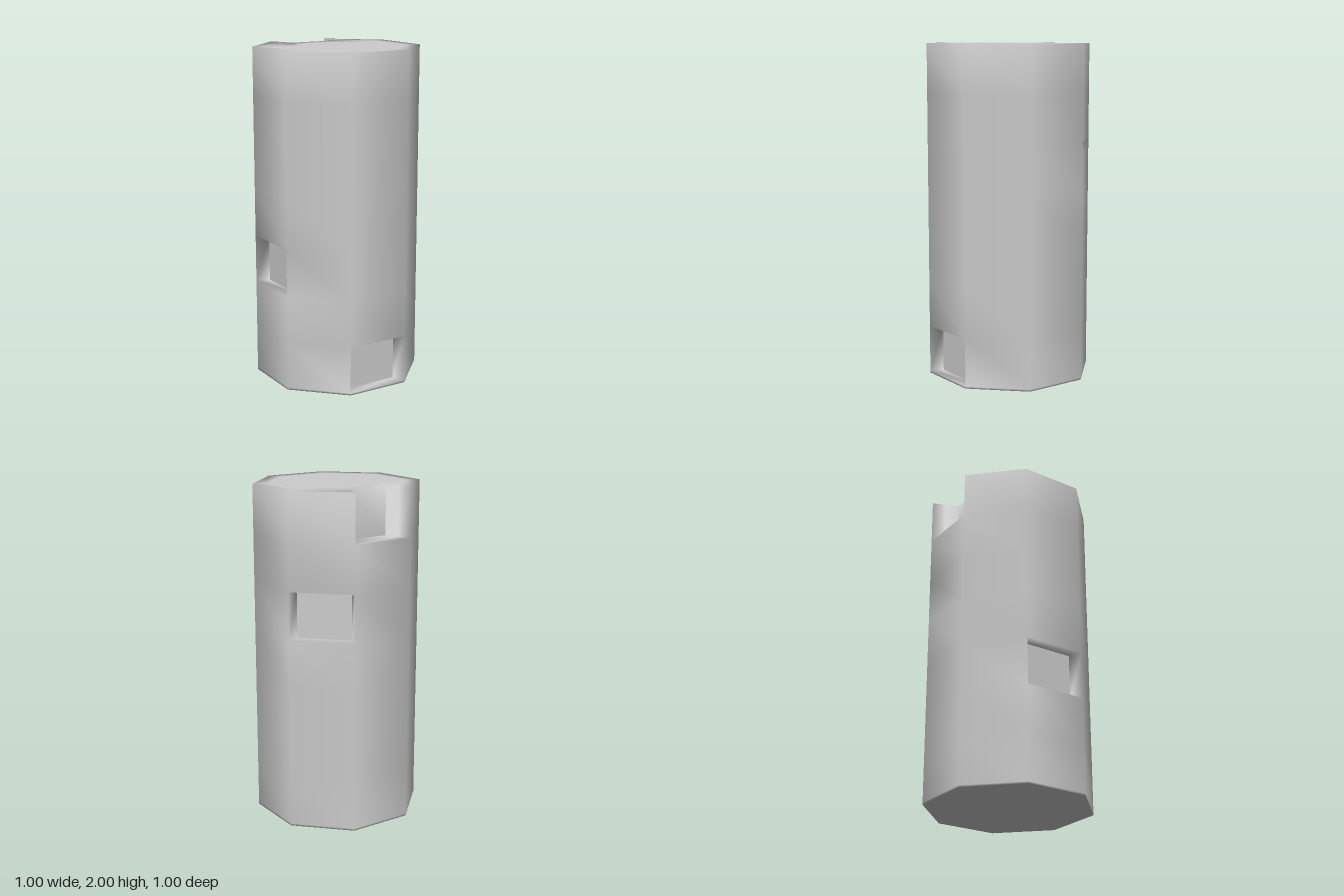
import * as THREE from 'three';

const SIDES = 8, COURSES = 7, BASE = 0.012, HEIGHT = 2;
const radii = [0, 0.25, 0.333, 0.417, 0.5];
const levels = [0];
for (let i = 0; i <= COURSES; i++) levels.push(BASE + (i * (HEIGHT - BASE)) / COURSES);

// Missing blocks: course level, side, and how many rings deep they are cut
const notches = [
  { level: 1, side: 2, depth: 1 },
  { level: 3, side: 4, depth: 1 },
  { level: 5, side: 7, depth: 1 },
  { level: 7, side: 6, depth: 2 },
];
const size = [radii.length - 1, levels.length - 1, SIDES];

// Is the block [ring, level, side] filled with stone?
function solid([r, y, s]) {
  if (r >= size[0] || y < 0 || y >= size[1]) return false;
  const side = (s + SIDES) % SIDES;
  return !notches.some(n => n.level === y && n.side === side && r >= size[0] - n.depth);
}

function columnGeometry() {
  const positions = [], index = [], shared = new Map();

  // Corners are shared for smooth shading; notch back walls stay flat
  function vertex([r, y, s], tag) {
    const side = s % SIDES;
    const key = [r, y, r ? side : 0, y < size[1] ? tag : ''].join();
    if (!shared.has(key)) {
      const a = (side / SIDES) * Math.PI * 2;
      shared.set(key, positions.length / 3);
      positions.push(radii[r] * Math.cos(a), levels[y], radii[r] * Math.sin(a));
    }
    return shared.get(key);
  }

  for (let r = 0; r < size[0]; r++)
    for (let y = 0; y < size[1]; y++)
      for (let s = 0; s < SIDES; s++) {
        const cell = [r, y, s];
        if (!solid(cell)) continue;
        // Add a face wherever the block meets open air
        for (let d = 0; d < 3; d++)
          for (const dir of [-1, 1]) {
            const next = [...cell];
            next[d] += dir;
            if (next[0] < 0 || solid(next)) continue;
            const u = (d + 1) % 3, v = (d + 2) % 3;
            const tag = d === 0 && r < size[0] - 1 ? 'wall' + y + s : '';
            const q = [[0, 0], [1, 0], [1, 1], [0, 1]].map(([i, j]) => {
              const c = [...cell];
              if (dir > 0) c[d]++;
              c[u] += i;
              c[v] += j;
              return vertex(c, tag);
            });
            if (dir < 0) q.reverse();
            for (const t of [[q[0], q[1], q[2]], [q[0], q[2], q[3]]])
              if (new Set(t).size === 3) index.push(...t);
          }
      }

  const geometry = new THREE.BufferGeometry();
  geometry.setAttribute('position', new THREE.Float32BufferAttribute(positions, 3));
  geometry.setIndex(index);
  geometry.computeVertexNormals();
  return geometry;
}

export function createModel() {
  const group = new THREE.Group();
  group.name = 'octagonalColumn';
  const column = new THREE.Mesh(columnGeometry(), new THREE.MeshStandardMaterial({ color: 0xcccccc }));
  column.name = 'notchedColumn';
  group.add(column);
  return group;
}
